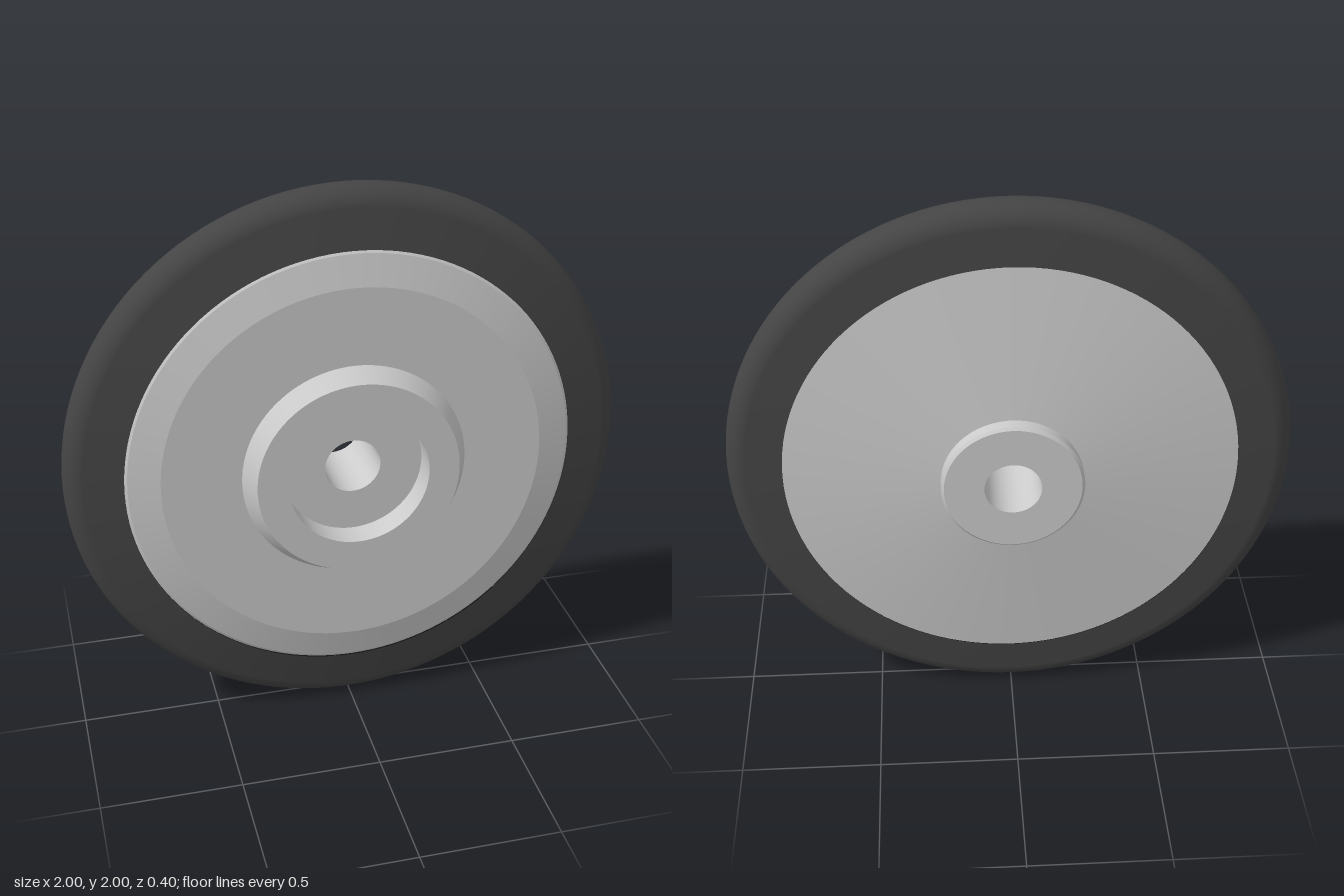
import * as THREE from 'three';
import { mergeGeometries } from 'three/addons/utils/BufferGeometryUtils.js';

const SEGMENTS = 128;

// Lathe with a hard edge at every profile corner, smooth around the axis
function hardLathe(points) {
  const bands = [];
  for (let i = 0; i < points.length - 1; i++) {
    const pair = [points[i], points[i + 1]].map(([r, z]) => new THREE.Vector2(r, z));
    bands.push(new THREE.LatheGeometry(pair, SEGMENTS));
  }
  return mergeGeometries(bands);
}

export function createModel() {
  const wheel = new THREE.Group();
  wheel.name = 'wheel';
  const grey = new THREE.MeshStandardMaterial({ color: 0xcccccc });
  const rubber = new THREE.MeshStandardMaterial({ color: 0x444444 });

  // Profiles are [radius, z], running from the back outwards to the front
  function add(name, geometry, material) {
    geometry.rotateX(Math.PI / 2); // lathe axis onto z
    const mesh = new THREE.Mesh(geometry, material);
    mesh.name = name;
    mesh.position.y = 1;
    wheel.add(mesh);
  }

  // Disc with rear hub, front boss, recess and through bore
  add('disc', hardLathe([
    [0.1, -0.2], [0.24, -0.2], [0.25, -0.19], [0.25, -0.15], // rear hub
    [0.8, -0.09], [0.8, 0.098], [0.79, 0.105],               // rear cone and rim
    [0.68, 0.13], [0.4, 0.13],                               // front face
    [0.36, 0.2], [0.25, 0.2],                                // tapered boss
    [0.25, 0.1], [0.1, 0.1], [0.1, -0.2],                    // recess and bore
  ]), grey);

  // Tyre: tapered side walls joined by a rounded tread
  const tyre = [new THREE.Vector2(0.8, -0.092)];
  const steps = 20;
  for (let i = 0; i <= steps; i++) {
    const a = THREE.MathUtils.degToRad(THREE.MathUtils.lerp(-83, 78, i / steps));
    tyre.push(new THREE.Vector2(0.92 + 0.08 * Math.cos(a), 0.08 * Math.sin(a)));
  }
  tyre.push(new THREE.Vector2(0.8, 0.105));
  add('tyre', new THREE.LatheGeometry(tyre, SEGMENTS), rubber);

  return wheel;
}
